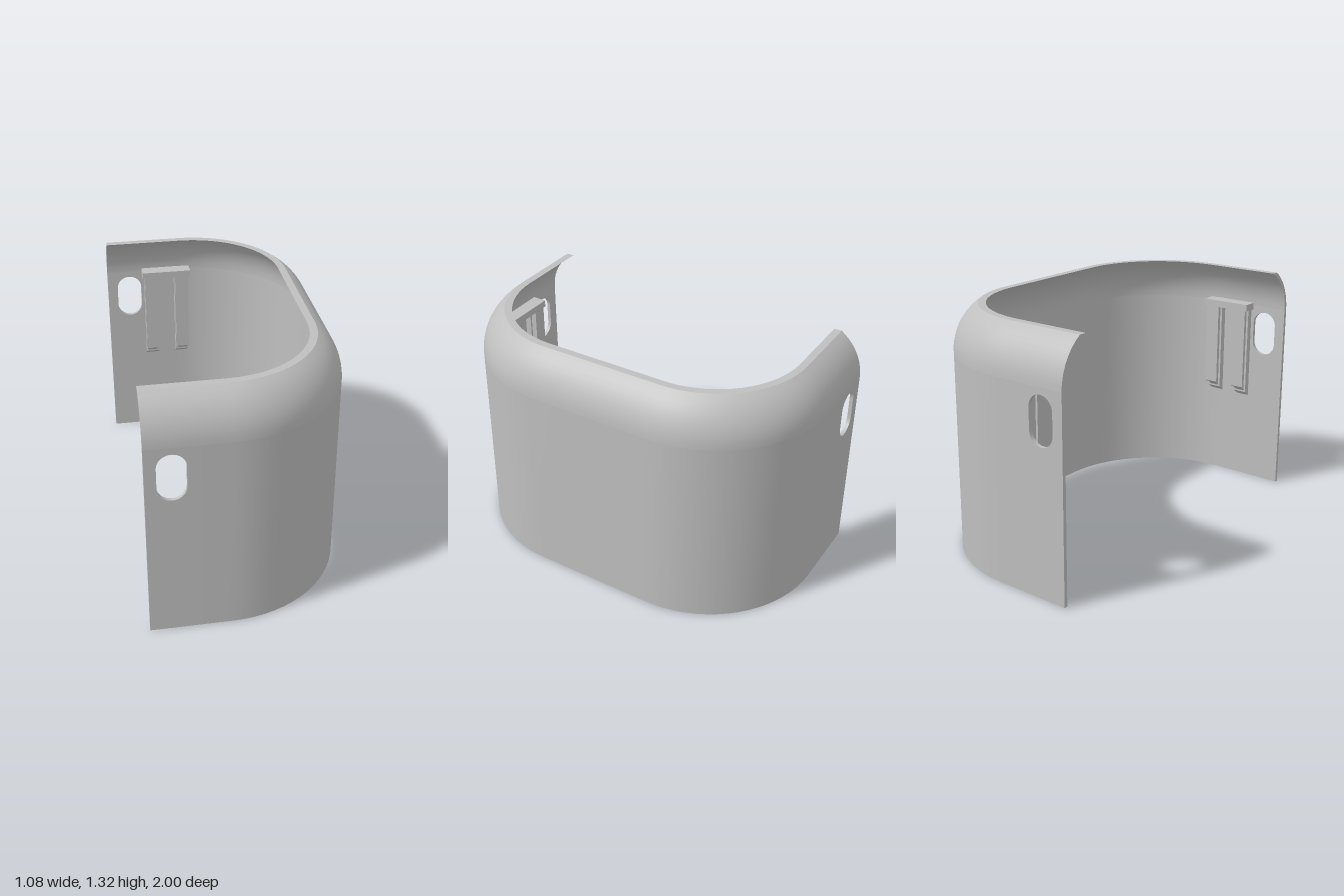
import * as THREE from 'three';
import { toCreasedNormals } from 'three/addons/utils/BufferGeometryUtils.js';

const END = -0.54, JOIN = -0.28;        // open end, and where the slotted panel meets the wall
const R = 0.66, CX = -0.12, CZ = 0.34;  // corner radius and centre
const T = 0.02, LIP = 1.075, TOP = 1.315, LR = 0.287;

// U-shaped path: corner centres with the direction pointing outwards
function makePath(startX, n = 18) {
  const path = [[startX, CZ, Math.PI / 2]];
  for (let i = 0; i <= n; i++) path.push([CX, CZ, (Math.PI / 2) * (1 - i / n)]);
  for (let i = 0; i <= n; i++) path.push([CX, -CZ, (-Math.PI / 2) * (i / n)]);
  path.push([startX, -CZ, -Math.PI / 2]);
  return path;
}

// Sweep a profile of [inset, height] points along the path; optionally close both ends
function sweep(path, profile, caps) {
  const pos = [];
  const at = ([cx, cz, a], [d, y]) => [cx + Math.cos(a) * (R - d), y, cz + Math.sin(a) * (R - d)];
  const quad = (a, b, c, d) => pos.push(...a, ...b, ...c, ...a, ...c, ...d);
  for (let i = 0; i < path.length - 1; i++) {
    for (let j = 0; j < profile.length - 1; j++) {
      quad(at(path[i], profile[j]), at(path[i + 1], profile[j]),
        at(path[i + 1], profile[j + 1]), at(path[i], profile[j + 1]));
    }
  }
  if (caps) {
    const m = profile.length - 1, s = path[0], e = path[path.length - 1];
    for (let k = 0; k < (m - 1) / 2; k++) {
      const ring = [profile[k], profile[k + 1], profile[m - k - 1], profile[m - k]];
      quad(...ring.map((p) => at(s, p)));
      quad(...ring.map((p) => at(e, p)).reverse());
    }
  }
  const geo = new THREE.BufferGeometry();
  geo.setAttribute('position', new THREE.Float32BufferAttribute(pos, 3));
  return toCreasedNormals(geo, 0.45);
}

// Quarter-like arc of the lip, from its base up to the flat rim
function lipArc(r, n = 9) {
  const end = Math.asin((TOP - LIP) / r), pts = [];
  for (let i = 0; i <= n; i++) {
    const a = (end * i) / n;
    pts.push([LR - r * Math.cos(a), LIP + r * Math.sin(a)]);
  }
  return pts;
}

// Flat end panel with an upright rounded slot
function slottedPanel() {
  const s = new THREE.Shape();
  s.moveTo(END, 0).lineTo(JOIN, 0).lineTo(JOIN, LIP).lineTo(END, LIP).closePath();
  const h = new THREE.Path(), x = -0.41, r = 0.072;
  h.absarc(x, 0.968, r, 0, Math.PI, false);
  h.absarc(x, 0.857, r, Math.PI, Math.PI * 2, false);
  h.closePath();
  s.holes.push(h);
  const geo = new THREE.ExtrudeGeometry(s, { depth: T, bevelEnabled: false, curveSegments: 14 });
  return toCreasedNormals(geo, 0.45);
}

// Bar along x (from x1 down by width) with a [z, y] cross-section
function bar(points, x1, width) {
  const s = new THREE.Shape(points.map((p) => new THREE.Vector2(...p)));
  const geo = new THREE.ExtrudeGeometry(s, { depth: width, bevelEnabled: false });
  geo.rotateY(-Math.PI / 2);
  geo.translate(x1, 0, 0);
  return geo;
}

export function createModel() {
  const grey = new THREE.MeshStandardMaterial({ color: 0xbfbfbf });
  grey.name = 'light grey';
  const model = new THREE.Group();
  model.name = 'curvedCover';
  const add = (parent, name, geo) => {
    const mesh = new THREE.Mesh(geo, grey);
    mesh.name = name;
    parent.add(mesh);
    return mesh;
  };

  // Curved wall and the lip leaning inwards above it
  add(model, 'wall', sweep(makePath(JOIN), [[T, LIP], [T, 0], [0, 0], [0, LIP]], false));
  add(model, 'lip', sweep(makePath(END), [...lipArc(LR), ...lipArc(LR - T).reverse()], true));

  for (const side of [1, -1]) {
    const label = side > 0 ? 'front' : 'back';
    add(model, label + 'SlottedPanel', slottedPanel()).position.z = side > 0 ? 1 - T : -1;

    // Clip inside the wall: a cap over two grooved legs with slanted feet
    const clip = new THREE.Group();
    clip.name = label + 'Clip';
    model.add(clip);
    const section = (pts) => pts.map(([z, y]) => [z * side, y]);
    add(clip, 'clipCap', bar(section([[0.9, 1.05], [0.985, 1.05], [0.985, 1.09], [0.9, 1.09]]), -0.045, 0.288));
    for (const x of [-0.06, -0.243]) {
      add(clip, 'legFace', bar(section([[0.905, 0.58], [0.92, 0.57], [0.92, 1.05], [0.905, 1.05]]), x, 0.077));
      add(clip, 'legCore', bar(section([[0.92, 0.57], [0.945, 0.55], [0.945, 1.05], [0.92, 1.05]]), x - 0.012, 0.053));
      add(clip, 'legBase', bar(section([[0.945, 0.54], [0.985, 0.51], [0.985, 1.05], [0.945, 1.05]]), x, 0.077));
    }
  }
  return model;
}
